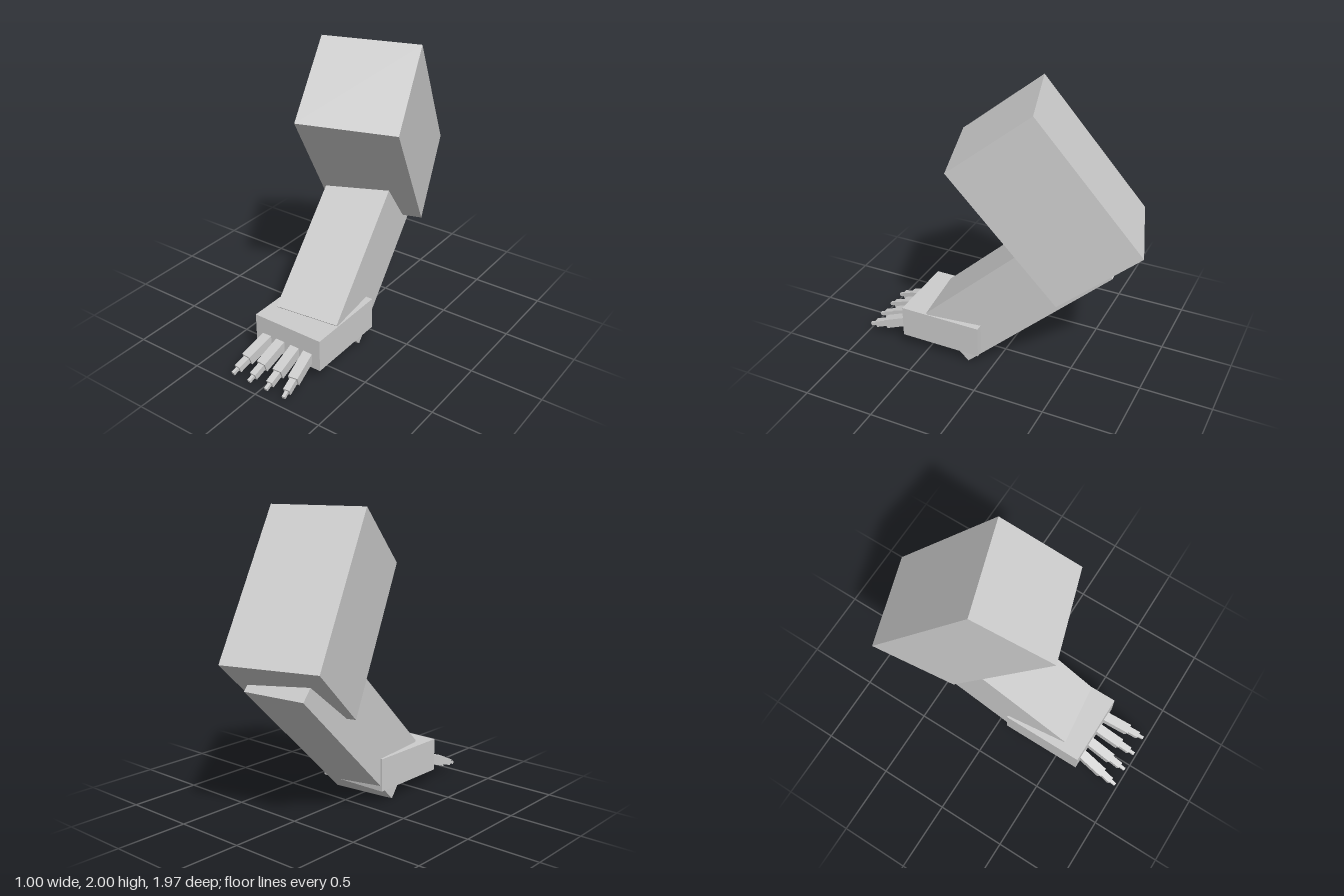
import * as THREE from 'three';

export function createModel() {
  const arm = new THREE.Group();
  arm.name = 'arm';
  const grey = new THREE.MeshStandardMaterial({ color: 0xcccccc });
  grey.name = 'light grey';

  // Box with a size, centre, and pitch followed by yaw
  const box = (parent, name, size, position, pitch = 0, yaw = 0) => {
    const mesh = new THREE.Mesh(new THREE.BoxGeometry(...size), grey);
    mesh.name = name;
    mesh.position.set(...position);
    mesh.rotation.set(pitch, yaw, 0, 'YXZ');
    parent.add(mesh);
  };

  box(arm, 'upperArm', [0.66, 1.136, 0.66], [0, 1.35, -0.31], 0.652, 0.307);
  box(arm, 'forearm', [0.455, 1.333, 0.455], [-0.032, 0.618, -0.131], -0.83, 0.11);
  box(arm, 'hand', [0.52, 0.228, 0.59], [0.01, 0.211, 0.38]);

  // Fingers: base x and outward spread; each has three tapering segments
  const fingers = [[-0.16, -0.12], [-0.05, -0.04], [0.068, 0.025], [0.172, 0.14]];
  const segments = [[-0.07, 0.197, 0.068], [0.197, 0.285, 0.045], [0.285, 0.33, 0.022]];
  fingers.forEach(([x, spread], i) => {
    const finger = new THREE.Group();
    finger.name = `finger${i + 1}`;
    finger.position.set(x, 0.168, 0.67);
    finger.rotation.set(0.33, spread, 0, 'YXZ');
    segments.forEach(([start, end, width], j) =>
      box(finger, `fingerSegment${j + 1}`, [width, width, end - start], [0, 0, (start + end) / 2]));
    arm.add(finger);
  });

  return arm;
}
